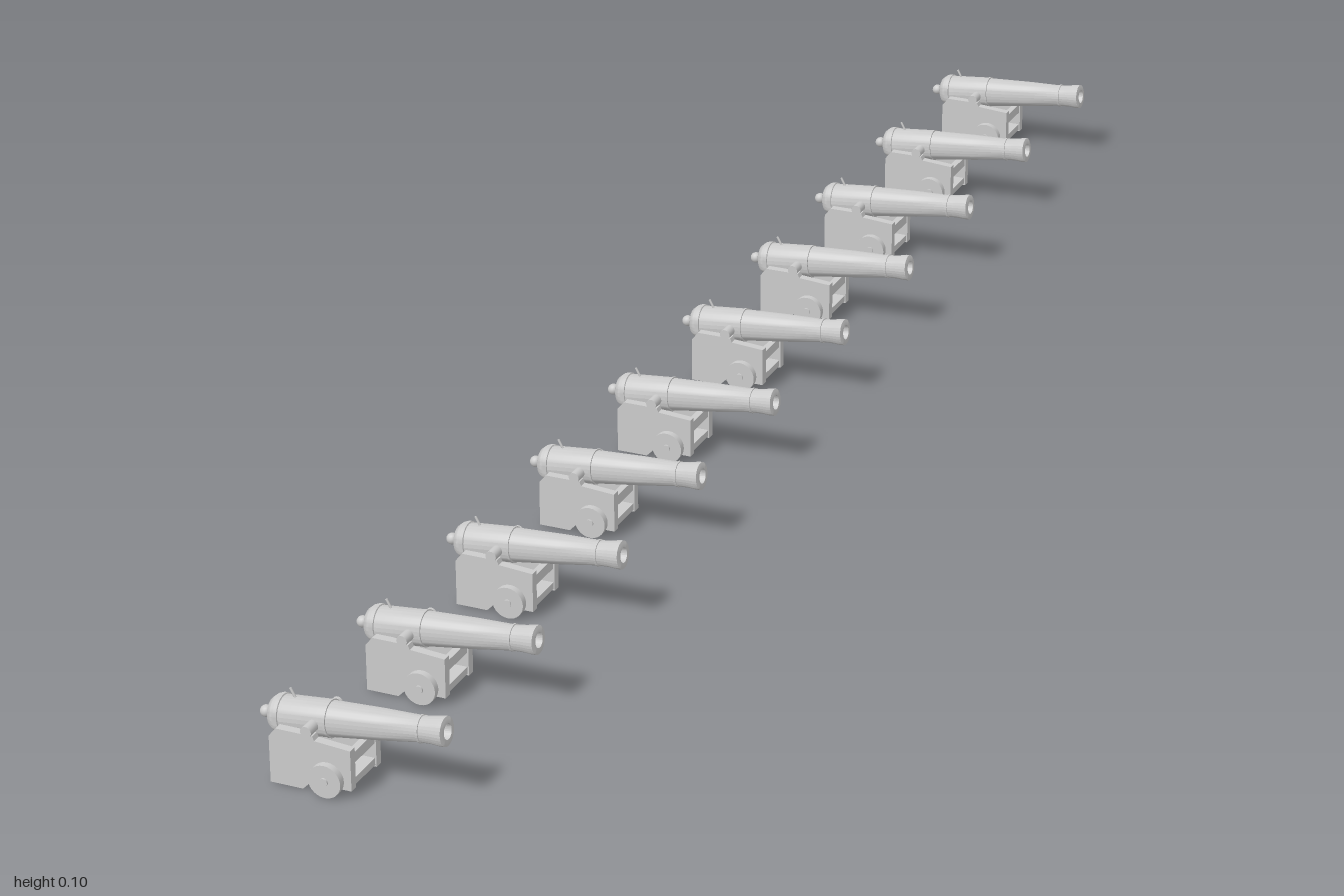
import * as THREE from 'three';
import { toCreasedNormals } from 'three/addons/utils/BufferGeometryUtils.js';

const material = new THREE.MeshStandardMaterial({ color: 0xcccccc });

function part(name, geometry, x = 0, y = 0, z = 0) {
  const mesh = new THREE.Mesh(geometry, material);
  mesh.name = name;
  mesh.position.set(x, y, z);
  return mesh;
}

// Round bar lying across the carriage
const crossBar = (radius, length, sides = 20) =>
  new THREE.CylinderGeometry(radius, radius, length, sides).rotateX(Math.PI / 2);

// Turned barrel with rounded breech, rings, flared muzzle and hollow bore
function barrelGeometry() {
  const profile = [
    [0, -0.058], [0.009, -0.058], [0.016, -0.0545], [0.02, -0.049],
    [0.0212, -0.045], [0.0212, -0.041], [0.0198, -0.0405],
    [0.0196, 0.011], [0.0202, 0.0112], [0.0202, 0.0138], [0.0188, 0.014],
    [0.0165, 0.07], [0.0138, 0.113], [0.0148, 0.1132], [0.0148, 0.1158],
    [0.0138, 0.116], [0.0144, 0.128], [0.0157, 0.137], [0.0157, 0.142],
    [0.0135, 0.143], [0.0085, 0.143], [0.0085, 0.06], [0, 0.06],
  ].map(([r, t]) => new THREE.Vector2(r, t));
  return toCreasedNormals(new THREE.LatheGeometry(profile, 28), 0.6);
}

// Carriage cheek with a raised rear, trunnion notch and cut-away front foot
function cheekGeometry(thickness) {
  const shape = new THREE.Shape();
  shape.moveTo(-0.081, 0);
  shape.lineTo(-0.044, 0);
  shape.lineTo(-0.035, 0.009);
  shape.lineTo(0.0115, 0.009);
  shape.lineTo(0.0115, 0.055);
  shape.lineTo(-0.029, 0.058);
  shape.lineTo(-0.031, 0.063);
  shape.absarc(-0.037, 0.0675, 0.0064, -0.78, -2.36, true);
  shape.lineTo(-0.073, 0.063);
  shape.lineTo(-0.081, 0.053);
  return new THREE.ExtrudeGeometry(shape, { depth: thickness, bevelEnabled: false, curveSegments: 6 });
}

const shared = {
  barrel: barrelGeometry(),
  cheek: cheekGeometry(0.01),
  neck: new THREE.CylinderGeometry(0.0035, 0.005, 0.008, 14),
  knob: new THREE.SphereGeometry(0.0066, 16, 12),
  vent: new THREE.CylinderGeometry(0.0014, 0.0014, 0.013, 8),
  trunnion: crossBar(0.0062, 0.07),
  wheel: crossBar(0.0185, 0.008, 28),
  axle: crossBar(0.0045, 0.086),
  bed: new THREE.BoxGeometry(0.082, 0.008, 0.046),
  transom: new THREE.BoxGeometry(0.008, 0.012, 0.046),
};

function createCannon() {
  const cannon = new THREE.Group();
  cannon.name = 'cannon';

  // Gun turns on its trunnions and points slightly upward along +x
  const gun = new THREE.Group();
  gun.name = 'gun';
  gun.position.set(-0.037, 0.0675, 0);
  gun.rotation.z = 0.1 - Math.PI / 2;
  const vent = part('ventLever', shared.vent, -0.0235, -0.0295, 0);
  vent.rotation.z = Math.PI / 2 - 0.1 + 0.5;
  gun.add(
    part('barrel', shared.barrel),
    part('breechNeck', shared.neck, 0, -0.0595, 0),
    part('breechKnob', shared.knob, 0, -0.064, 0),
    vent
  );

  // Carriage
  const carriage = new THREE.Group();
  carriage.name = 'carriage';
  for (const side of [-1, 1]) {
    carriage.add(
      part('cheek', shared.cheek, 0, 0, side * 0.0275 - 0.005),
      part('wheel', shared.wheel, -0.015, 0.0185, side * 0.037)
    );
  }
  carriage.add(
    part('axle', shared.axle, -0.015, 0.0185, 0),
    part('bed', shared.bed, -0.031, 0.015, 0),
    part('transom', shared.transom, 0.006, 0.042, 0),
    part('trunnion', shared.trunnion, -0.037, 0.0675, 0)
  );
  cannon.add(gun, carriage);
  return cannon;
}

export function createModel() {
  const model = new THREE.Group();
  model.name = 'cannonRow';
  // Two mirrored runs of five cannons
  for (const side of [-1, 1]) {
    for (let i = 0; i < 5; i++) {
      const cannon = createCannon();
      cannon.position.z = side * (0.108 + i * 0.2122);
      model.add(cannon);
    }
  }
  return model;
}
